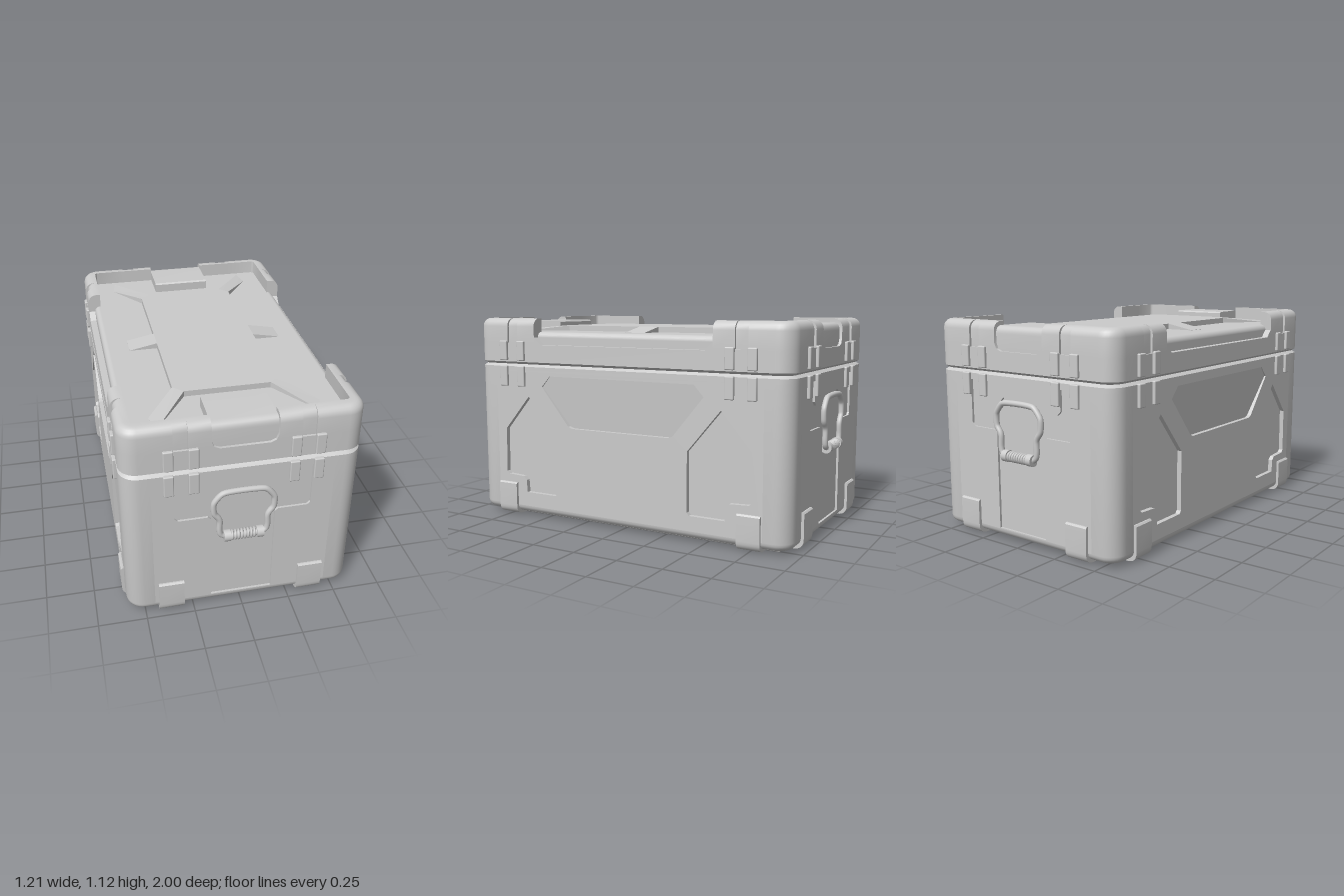
import * as THREE from 'three';
import { toCreasedNormals } from 'three/addons/utils/BufferGeometryUtils.js';
import { RoundedBoxGeometry } from 'three/addons/geometries/RoundedBoxGeometry.js';

const HX = 0.59, HZ = 0.96, R = 0.09;
const mat = new THREE.MeshStandardMaterial({ color: 0xcccccc });

function add(parent, name, geo, x = 0, y = 0, z = 0) {
  const m = new THREE.Mesh(geo, mat);
  m.name = name;
  m.position.set(x, y, z);
  parent.add(m);
  return m;
}

function fromTriangles(pos) {
  const g = new THREE.BufferGeometry();
  g.setAttribute('position', new THREE.Float32BufferAttribute(pos, 3));
  return toCreasedNormals(g, 0.6);
}

// Push a quad as two triangles, leaving out collapsed ones
function quad(out, a, b, c, d) {
  for (const t of [[a, b, c], [a, c, d]]) {
    const tri = new THREE.Triangle(...t.map(p => new THREE.Vector3(...p)));
    if (tri.getArea() > 1e-8) t.forEach(p => out.push(...p));
  }
}

const mirrored = half => [...half.map(([u, ...r]) => [-u, ...r]), ...half.slice().reverse()];

// Carry a wall profile [inward offset, y, insettable] round a rounded rectangle.
// Each station [u, top, inset] may cut the wall at a height or set it back.
function wallLoop(profile, endHalf, sideHalf) {
  const rings = [];
  const ring = (px, pz, nx, nz, top, inset) => rings.push(profile.map(([o, y, f]) => {
    const k = o + (f ? inset : 0);
    return [px - nx * k, Math.min(y, top), pz - nz * k];
  }));
  for (let k = 0; k < 4; k++) {
    const a = k * Math.PI / 2, s = Math.sin(a), c = Math.cos(a);
    const [half, dist] = k % 2 ? [HZ, HX] : [HX, HZ];
    const world = (u, d) => [u * c + d * s, -u * s + d * c];
    for (const [u, top, inset] of mirrored(k % 2 ? sideHalf : endHalf))
      ring(...world(u, dist), s, c, top, inset);
    const [cx, cz] = world(half - R, dist - R);
    for (let i = 0; i <= 8; i++) {
      const t = a + i / 8 * Math.PI / 2, nx = Math.sin(t), nz = Math.cos(t);
      ring(cx + nx * R, cz + nz * R, nx, nz, 9, 0);
    }
  }
  const out = [];
  rings.forEach((p, i) => {
    const q = rings[(i + 1) % rings.length];
    for (let j = 0; j < p.length - 1; j++) quad(out, p[j], q[j], q[j + 1], p[j + 1]);
  });
  return fromTriangles(out);
}

// Convex counter-clockwise polygon [x, y, height] raised towards +z
function prism(pts, base = -0.01) {
  const out = [];
  pts.forEach((p, i) => {
    const q = pts[(i + 1) % pts.length];
    quad(out, [p[0], p[1], base], [q[0], q[1], base], q, p);
    if (i > 0 && i < pts.length - 1) out.push(...pts[0], ...p, ...q);
  });
  return fromTriangles(out);
}

// Shape drawn as (outward, y), extruded across a face
function across(shape, width) {
  const g = new THREE.ExtrudeGeometry(shape, { depth: width, bevelEnabled: false, curveSegments: 6 });
  g.translate(0, 0, -width / 2).rotateY(-Math.PI / 2);
  return toCreasedNormals(g, 0.6);
}

const poly = pts => new THREE.Path(pts.map(p => new THREE.Vector2(...p)));
const mirrorOutline = half => [...half, ...half.slice().reverse().map(([x, y]) => [-x, y])];

// Wall panel with recesses cut through
function plate(w, depth, holes) {
  const s = new THREE.Shape([[-w, 0.06], [w, 0.06], [w, 0.83], [-w, 0.83]].map(p => new THREE.Vector2(...p)));
  s.holes.push(...holes.map(poly));
  return new THREE.ExtrudeGeometry(s, { depth, bevelEnabled: false }).translate(0, 0, -depth);
}

function footShape() {
  const s = new THREE.Shape();
  s.moveTo(-0.1, 0.03); s.lineTo(-0.1, 0.004); s.lineTo(-0.04, 0.004);
  s.quadraticCurveTo(0.015, 0.004, 0.015, 0.055);
  s.lineTo(0.015, 0.182); s.lineTo(0.007, 0.19); s.lineTo(-0.02, 0.19); s.lineTo(-0.02, 0.06);
  return s;
}

function tabShape() {
  const s = new THREE.Shape();
  s.moveTo(-0.27, 1.03); s.lineTo(-0.05, 0.97); s.lineTo(-0.015, 0.97); s.lineTo(-0.015, 1.065);
  s.quadraticCurveTo(-0.015, 1.105, -0.055, 1.105);
  s.lineTo(-0.262, 1.105); s.lineTo(-0.27, 1.097);
  return s;
}

// Latch pairs and corner feet shared by every face
function fittings(face, latchAt, footAt, footWidth) {
  for (const s of [-1, 1]) {
    for (const d of [-0.06, 0.06]) {
      add(face, 'lidLatchBlock', new RoundedBoxGeometry(0.05, 0.11, 0.04, 2, 0.006), s * (latchAt + d), 0.945, -0.005);
      add(face, 'bodyLatchBlock', new RoundedBoxGeometry(0.05, 0.115, 0.04, 2, 0.006), s * (latchAt + d), 0.803, -0.005);
    }
    add(face, 'foot', across(footShape(), footWidth), s * footAt);
  }
}

function carryHandle() {
  const g = new THREE.Group();
  g.name = 'carryHandle';
  const pts = mirrorOutline([[0.095, 0.46], [0.115, 0.475], [0.121, 0.5], [0.121, 0.56], [0.128, 0.578],
    [0.147, 0.605], [0.151, 0.625], [0.151, 0.665], [0.145, 0.68], [0.113, 0.718], [0.095, 0.726]]);
  const path = new THREE.CatmullRomCurve3(pts.map(([x, y]) => new THREE.Vector3(x, y, 0)), false, 'centripetal');
  add(g, 'handleFrame', new THREE.TubeGeometry(path, 90, 0.015, 10));
  const rod = (name, r, len, x) => add(g, name, new THREE.CylinderGeometry(r, r, len, 20).rotateZ(Math.PI / 2), x, 0.46);
  rod('gripCore', 0.019, 0.18, 0);
  for (const s of [-1, 1]) rod('gripEnd', 0.03, 0.034, s * 0.083);
  for (let i = 0; i < 8; i++)
    add(g, 'gripRib', new THREE.TorusGeometry(0.021, 0.007, 8, 20).rotateY(Math.PI / 2 - 0.15), -0.056 + i * 0.016, 0.46);
  g.position.z = 0.01;
  return g;
}

export function createModel() {
  const model = new THREE.Group();
  model.name = 'equipmentCase';
  const arc = [0, 1, 2, 3, 4, 5].map(i => i / 5 * Math.PI / 2);

  // Lower body walls, set back where the panels sit
  const bodyProfile = [[0.08, 0.02], ...arc.map(t => [0.04 - 0.04 * Math.sin(t), 0.06 - 0.04 * Math.cos(t)]),
    [0, 0.06, 1], [0, 0.83, 1], [0, 0.83], [0, 0.857], [0.02, 0.87]];
  add(model, 'bodyWalls', wallLoop(bodyProfile, [[0.45, 9, 0], [0.45, 9, 0.012]], [[0.82, 9, 0], [0.82, 9, 0.025]]));
  add(model, 'base', new RoundedBoxGeometry(1.03, 0.04, 1.77, 2, 0.008), 0, 0.02, 0);

  // Lid walls with raised corners, cut-outs and strap grooves
  const lidProfile = [[0.02, 0.87], [0, 0.883], [0, 0.99], [0, 0.99, 1],
    ...arc.map(t => [0.045 - 0.045 * Math.cos(t), 1.08 + 0.045 * Math.sin(t), 1]), [0.07, 1.125], [0.07, 1.03]];
  const strap = (a, b) => [[b, 9, 0], [b, 9, 0.012], [a, 9, 0.012], [a, 9, 0]];
  add(model, 'lidWalls', wallLoop(lidProfile,
    [...strap(0.27, 0.34), [0.16, 9, 0], [0.16, 1.02, 0], [0.148, 0.992, 0], [0.12, 0.98, 0]],
    [...strap(0.665, 0.735), [0.548, 9, 0], [0.548, 1.02, 0], [0.505, 0.98, 0]]));
  add(model, 'lidPanel', new RoundedBoxGeometry(1.11, 0.2, 1.85, 4, 0.03), 0, 0.95, 0);

  // Raised lid centre with ramps running out to the corners and sides
  const relief = new THREE.Group();
  relief.name = 'lidRelief';
  relief.rotation.x = -Math.PI / 2;
  relief.position.y = 1.05;
  model.add(relief);
  const h = 0.03;
  const octagon = [];
  for (const [sx, sy] of [[1, 1], [-1, 1], [-1, -1], [1, -1]]) {
    const corner = [[0.27 * sx, 0.54 * sy, h], [0.22 * sx, 0.59 * sy, h]];
    octagon.push(...(sx * sy > 0 ? corner : corner.reverse()));
    const ramp = [[0.27, 0.54, h], [0.42, 0.75, 0.001], [0.4, 0.86, 0.001], [0.22, 0.59, h]].map(([x, y, z]) => [x * sx, y * sy, z]);
    add(relief, 'cornerRamp', prism(sx * sy > 0 ? ramp : ramp.reverse()));
  }
  add(relief, 'centrePlateau', prism(octagon));
  for (const s of [-1, 1])
    add(relief, 'sideRamp', prism([[0.27, -0.06, h], [0.42, -0.06, 0.001], [0.42, 0.06, 0.001], [0.27, 0.06, h]].map(([x, y, z]) => [x * s, y * s, z])));

  // Recess outlines
  const endRecess = mirrorOutline([[0.16, 0.065], [0.16, 0.565], [0.175, 0.58], [0.325, 0.58], [0.34, 0.595], [0.34, 0.825],
    [0.27, 0.825], [0.27, 0.72], [0.25, 0.7], [0.16, 0.7], [0.11, 0.75]]);
  const cornerRecess = [[0.595, 0.69], [0.76, 0.5], [0.765, 0.25], [0.75, 0.235], [0.645, 0.23], [0.625, 0.21],
    [0.62, 0.14], [0.42, 0.14], [0.408, 0.155], [0.408, 0.47]];
  const slopeOutline = mirrorOutline([[0.3, 0.53], [0.325, 0.54], [0.5, 0.75], [0.445, 0.81]]);

  for (const s of [0, 1]) {
    // Short ends with handles
    const end = new THREE.Group();
    end.name = s ? 'backEnd' : 'frontEnd';
    end.rotation.y = s * Math.PI;
    end.position.z = s ? -HZ : HZ;
    add(end, 'endPanel', plate(0.45, 0.012, [endRecess]));
    add(end, 'lidTab', across(tabShape(), 0.32));
    fittings(end, 0.305, 0.365, 0.13);
    end.add(carryHandle());

    // Long sides with a sloped centre recess
    const side = new THREE.Group();
    side.name = s ? 'rightSide' : 'leftSide';
    side.rotation.y = (s ? -1 : 1) * Math.PI / 2;
    side.position.x = s ? -HX : HX;
    add(side, 'sidePanel', plate(0.82, 0.025, [cornerRecess, cornerRecess.map(([x, y]) => [-x, y]), slopeOutline]));
    add(side, 'slopedRecess', prism(slopeOutline.map(([x, y]) => [x, y, -0.005 - 0.019 * (0.81 - y) / 0.28]), -0.03));
    fittings(side, 0.7, 0.75, 0.125);
    model.add(end, side);
  }
  return model;
}
